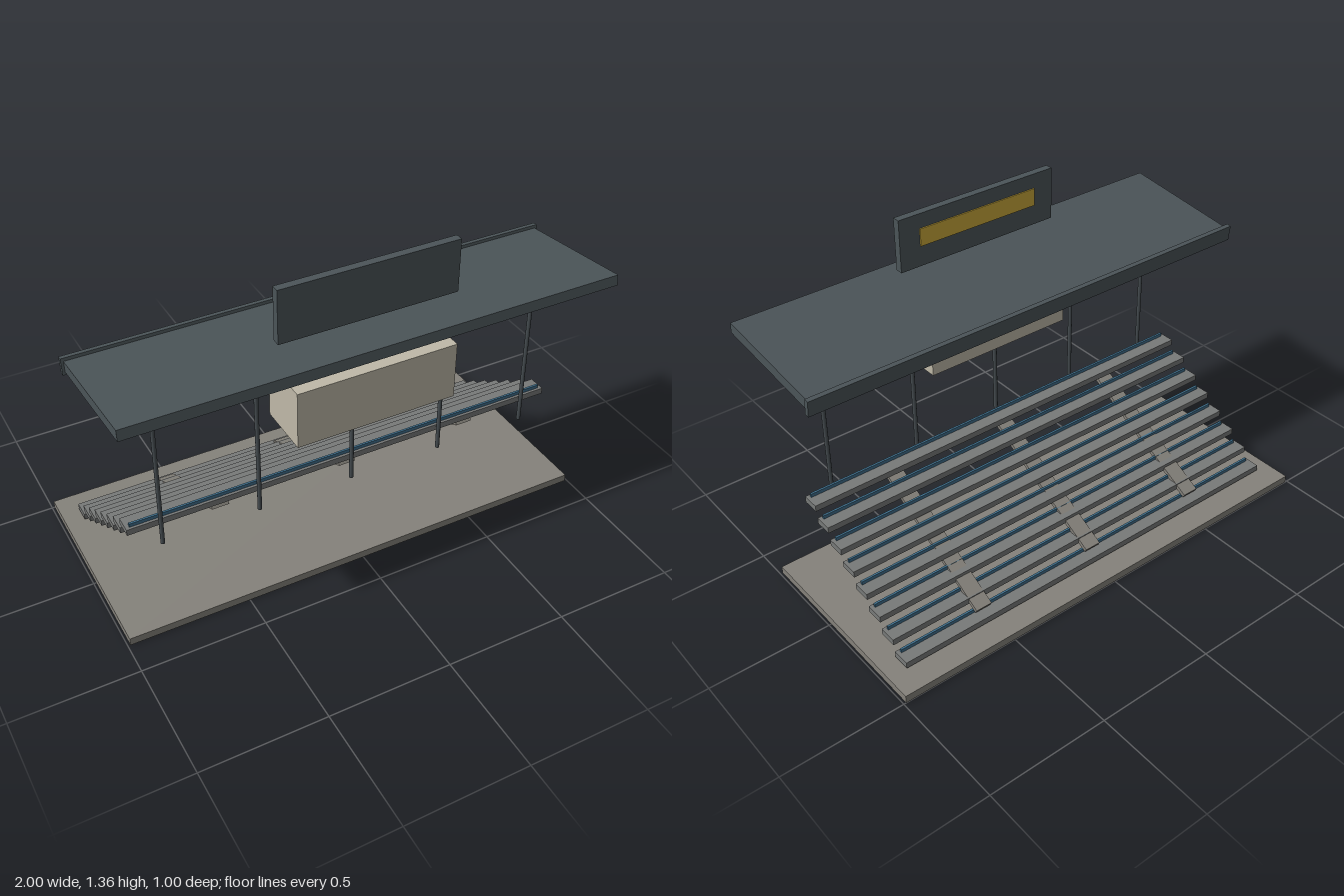
import * as THREE from 'three';

const mat = (color) => new THREE.MeshStandardMaterial({ color });

export function createModel() {
  const group = new THREE.Group();
  group.name = 'grandstand';

  const concrete = mat(0x85827b);
  const bench = mat(0x787a79);
  const blue = mat(0x3f6f8c);
  const slate = mat(0x4b5458);
  const steel = mat(0x454c50);
  const cream = mat(0xbfb9a8);
  const glass = mat(0x587d90);
  const yellow = mat(0xc9a83a);

  const add = (name, geometry, material, x, y, z, tilt = 0) => {
    const mesh = new THREE.Mesh(geometry, material);
    mesh.name = name;
    mesh.position.set(x, y, z);
    mesh.rotation.x = tilt;
    group.add(mesh);
    return mesh;
  };
  const box = (name, w, h, d, material, x, y, z, tilt) =>
    add(name, new THREE.BoxGeometry(w, h, d), material, x, y, z, tilt);

  // Ground slab
  box('base', 1.98, 0.032, 0.865, concrete, 0, 0.016, -0.0675);

  // Stepped seating rows, each with a thin blue seat back
  for (let i = 0; i < 8; i++) {
    const y = 0.053 + i * 0.0524;
    const z = -0.362 + i * 0.08;
    box('seatRow', 1.83, 0.026, 0.073, bench, 0, y, z);
    box('seatBack', 1.8, 0.016, 0.009, blue, 0, y + 0.02, z + 0.021);
  }

  // Sloping aisles
  const rise = 0.305, run = 0.58;
  for (const x of [-0.54, 0, 0.54]) {
    box('aisle', 0.07, 0.017, Math.hypot(rise, run), concrete, x, 0.235, -0.072, -Math.atan2(rise, run));
  }

  // Roof columns
  for (let i = -2; i <= 2; i++) {
    add('column', new THREE.CylinderGeometry(0.0085, 0.0085, 0.665, 12), steel, i * 0.395, 0.668, 0.255);
  }

  // Tilted roof with its fascia along the lower edge
  const tilt = -0.11;
  box('roof', 1.98, 0.043, 0.53, slate, 0, 1.048, 0.234, tilt);
  box('fascia', 2, 0.066, 0.02, slate, 0, 1.02, -0.03, tilt);

  // Press cabin with a window facing the seats
  box('cabin', 0.65, 0.233, 0.223, cream, 0, 0.8525, 0.3295);
  box('cabinWindow', 0.52, 0.088, 0.01, glass, 0, 0.874, 0.217);

  // Scoreboard above the roof
  box('scoreboard', 0.72, 0.216, 0.032, slate, 0, 1.252, 0.356);
  box('scoreboardPanel', 0.54, 0.072, 0.01, yellow, 0, 1.264, 0.34);

  return group;
}
